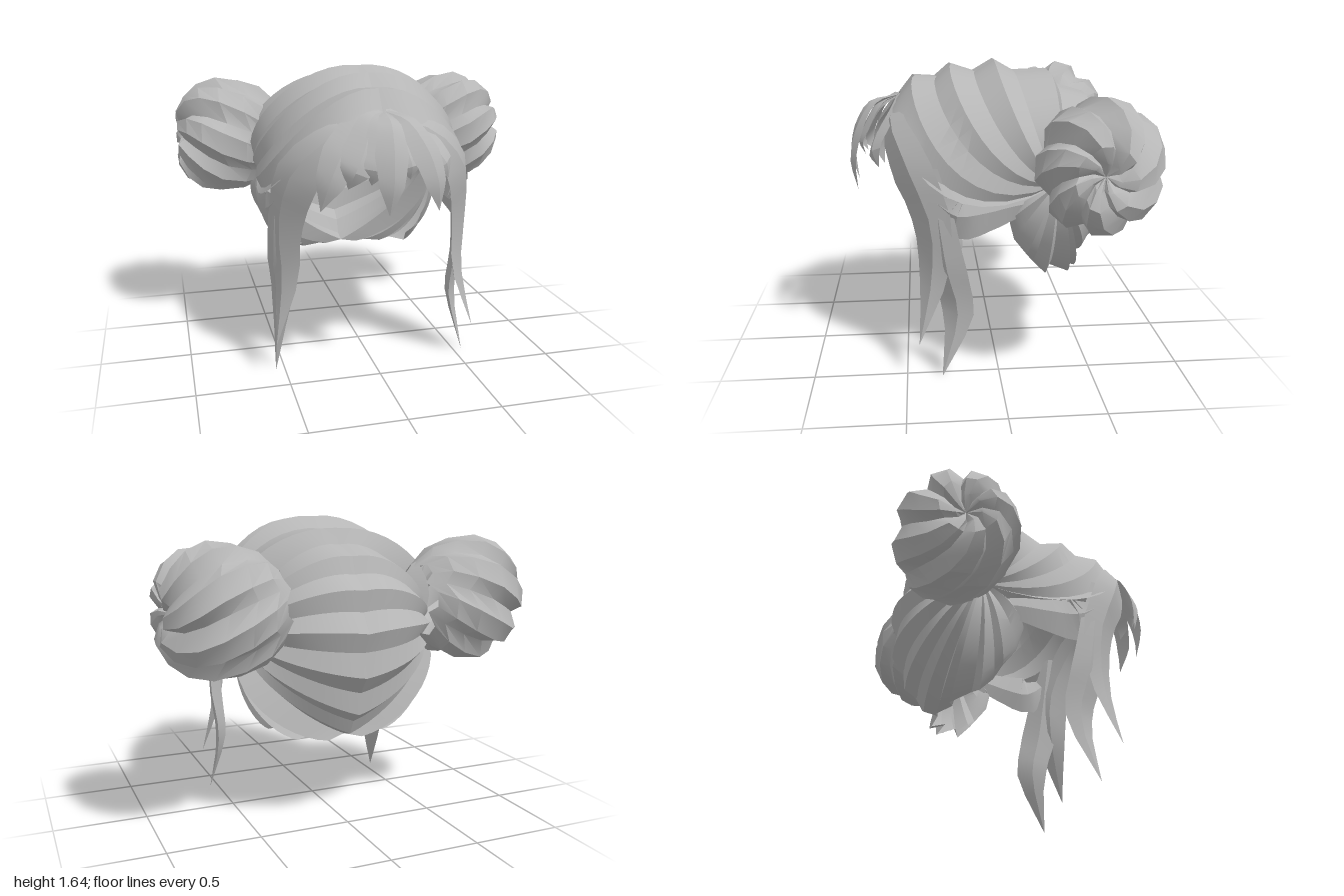
import * as THREE from 'three';
import { toCreasedNormals } from 'three/addons/utils/BufferGeometryUtils.js';

const hair = new THREE.MeshStandardMaterial({ color: 0xb6b6b6, side: THREE.DoubleSide });
hair.name = 'hair grey';
const V = (x, y, z) => new THREE.Vector3(x, y, z);
const lerp = THREE.MathUtils.lerp;

// Skin a grid of points; s = -1 mirrors it in x and keeps the faces outward
function skin(name, rows, s = 1, crease = 0.42) {
  const pos = [], index = [], n = rows[0].length;
  rows.forEach(row => row.forEach(p => pos.push(p.x * s, p.y, p.z)));
  for (let i = 0; i < rows.length - 1; i++) {
    for (let j = 0; j < n - 1; j++) {
      const a = i * n + j, b = a + 1, c = a + n, d = c + 1;
      if (s > 0) index.push(a, b, c, b, d, c);
      else index.push(a, c, b, b, c, d);
    }
  }
  const g = new THREE.BufferGeometry();
  g.setAttribute('position', new THREE.Float32BufferAttribute(pos, 3));
  g.setIndex(index);
  const mesh = new THREE.Mesh(toCreasedNormals(g, crease), hair);
  mesh.name = name;
  return mesh;
}

// Tapered closed lock with a ridge outside and inside: path points are [x, y, z, half width]
function lock(name, pts, s = 1, inner = 0.3) {
  const curve = new THREE.CatmullRomCurve3(pts.map(p => V(p[0], p[1], p[2])));
  const section = [[-1, 0], [-0.1, 0.3], [1, 0], [0.1, -inner], [-1, 0]];
  const rows = [], steps = 12;
  for (let i = 0; i <= steps; i++) {
    const t = i / steps, p = curve.getPoint(t), k = t * (pts.length - 1);
    const a = Math.min(Math.floor(k), pts.length - 2);
    const w = lerp(pts[a][3], pts[a + 1][3], k - a);
    const out = p.clone().sub(V(0, Math.min(1, p.y), 0)).normalize();
    const side = curve.getTangent(t).cross(out).normalize();
    rows.push(section.map(([e, h]) =>
      p.clone().addScaledVector(side, e * w).addScaledVector(out, h * w)));
  }
  return skin(name, rows, s);
}

// Ridges and grooves down the centre parting, front to nape: [z, y]
const parting = [
  [0.52, 1.43], [0.49, 1.47], [0.42, 1.56], [0.30, 1.55], [0.22, 1.62], [0.09, 1.575],
  [-0.02, 1.64], [-0.13, 1.575], [-0.32, 1.58], [-0.36, 1.50], [-0.53, 1.45], [-0.56, 1.36],
  [-0.67, 1.29], [-0.66, 1.18], [-0.73, 1.08], [-0.69, 0.98], [-0.71, 0.85], [-0.64, 0.76],
  [-0.63, 0.64], [-0.56, 0.59], [-0.52, 0.51], [-0.44, 0.49],
];
// Scalloped lower rim from nape to ear: [x, y, z]
const rim = [
  [0.10, 0.465, -0.46], [0.14, 0.50, -0.38], [0.25, 0.475, -0.41], [0.28, 0.53, -0.30],
  [0.37, 0.51, -0.27], [0.36, 0.58, -0.20], [0.42, 0.64, -0.16], [0.42, 0.73, -0.09],
  [0.47, 0.84, -0.06], [0.49, 0.92, -0.10],
];

// Half of the cap: every strand sweeps from the parting or rim into the bun
function cap(s) {
  const A = V(0.52, 1.06, -0.3);
  const starts = [...parting.map(([z, y]) => V(0, y, z)), ...rim.map(p => V(...p))];
  const rows = starts.map((S, i) => {
    const r = S.x / 0.5, ridge = i % 2 ? -0.02 : 0.03;
    const f = i < 12 ? Math.max(0, (S.z + 0.3) / 0.82) : 0;
    const back = i >= 9 && i < 22;
    const P1 = V(S.x + (back ? 0.26 : 0.38) * (1 - r), S.y + 0.04, S.z + 0.1 * f - (back ? 0.02 : 0));
    if (S.y < 1 && back) P1.y = lerp(S.y, A.y, 0.2);
    const P2 = V((back ? 0.56 : 0.72 - 0.16 * r) + ridge,
      lerp(A.y, S.y, 0.35 - 0.6 * f * f) - 0.26 * f ** 4,
      lerp(A.z, S.z, back ? 0.5 : 0.55 + 0.33 * f));
    return new THREE.CubicBezierCurve3(S, P1, P2, A).getPoints(14);
  });
  return skin(s > 0 ? 'leftCap' : 'rightCap', rows, s);
}

// Twisted bun: [distance outward, radius] swept into a spiral of ridged strands
function bun(s) {
  const profile = [[-0.32, 0.2], [-0.24, 0.27], [-0.12, 0.31], [0.02, 0.325],
    [0.13, 0.295], [0.21, 0.235], [0.26, 0.15], [0.24, 0.07], [0.19, 0]];
  const strands = 7, ridge = [[0, 0.9], [0.2, 1.05], [0.6, 1.06]];
  const rows = profile.map(([a, r], i) => {
    const row = [];
    for (let k = 0; k <= strands * 3; k++) {
      const [u, m] = ridge[k % 3];
      const th = (Math.floor(k / 3) + u) / strands * Math.PI * 2 - i * 0.2;
      row.push(V(0.72 + a + (m - 1) * 0.25, 1.2 + r * m * Math.cos(th),
        -0.47 + a * 0.08 + r * 0.95 * m * Math.sin(th)));
    }
    return row;
  });
  return skin(s > 0 ? 'leftBun' : 'rightBun', rows, s, 0.62);
}

export function createModel() {
  const model = new THREE.Group();
  model.name = 'hairstyle';

  for (const s of [1, -1]) {
    const side = s > 0 ? 'left' : 'right';
    model.add(cap(s), bun(s));
    // Long locks framing the face
    model.add(lock(side + 'FrontLock', [[0, 1.43, 0.51, 0.03], [0.25, 1.33, 0.54, 0.09],
      [0.43, 1.13, 0.45, 0.14], [0.485, 0.86, 0.35, 0.125], [0.485, 0.55, 0.35, 0.09],
      [0.56, 0.2, 0.43, 0]], s));
    model.add(lock(side + 'LongLock', [[0.5, 1.15, 0.34, 0.03], [0.51, 0.88, 0.31, 0.09],
      [0.51, 0.6, 0.27, 0.11], [0.5, 0.35, 0.22, 0.09], [0.55, 0, 0.31, 0]], s));
    // Short hair swept back over the ear
    model.add(lock(side + 'EarLock', [[0.52, 0.99, 0.34, 0.03], [0.53, 0.9, 0.21, 0.13],
      [0.52, 0.91, 0.07, 0.1], [0.5, 0.94, -0.08, 0.07], [0.48, 0.96, -0.25, 0.03]], s));
  }

  // Fringe fanning from the parting: tip x, y, z and half width
  const fringe = [
    [-0.35, 0.98, 0.62, 0.1], [-0.22, 1.1, 0.67, 0.1], [-0.11, 1.12, 0.7, 0.08],
    [-0.03, 0.97, 0.75, 0.085], [0.09, 1.14, 0.7, 0.08], [0.23, 0.98, 0.74, 0.08],
    [0.32, 1.12, 0.62, 0.09],
  ];
  fringe.forEach(([x, y, z, w], i) => model.add(lock('fringe' + (i + 1), [
    [x * 0.03, 1.45, 0.52, 0.02],
    [x * 0.35, 1.41, z - 0.09, w * 0.7],
    [x * 0.68, 1.27, z - 0.01, w],
    [x * 0.88, lerp(1.27, y, 0.5), z + 0.02, w * 0.75],
    [x, y, z, 0],
  ], 1, 0.1)));
  return model;
}
